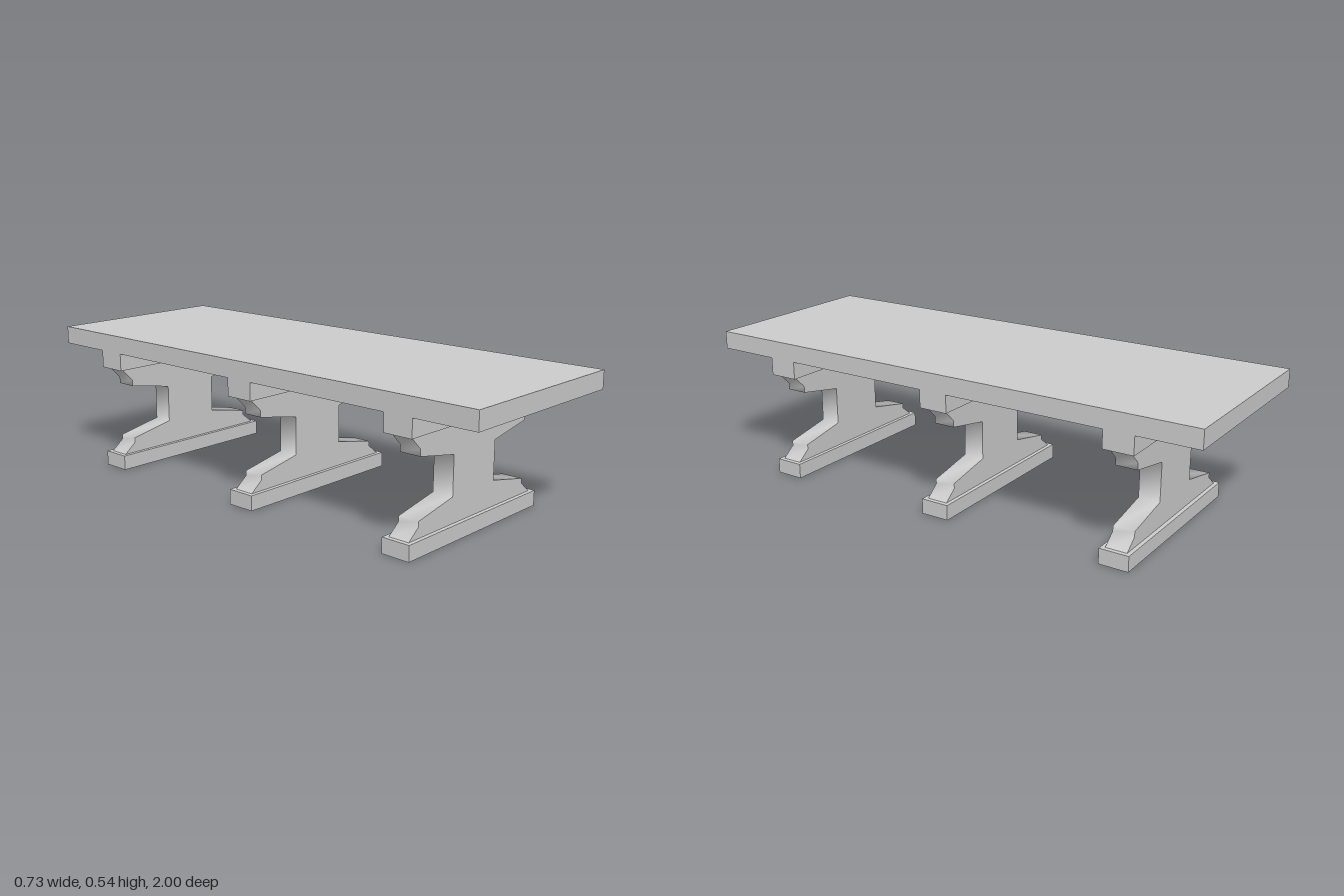
import * as THREE from 'three';
import { toCreasedNormals } from 'three/addons/utils/BufferGeometryUtils.js';

const material = new THREE.MeshStandardMaterial({ color: 0xcccccc });
const HALF_WIDTH = 0.367;

function slab(name, yMin, yMax, depth) {
  const mesh = new THREE.Mesh(new THREE.BoxGeometry(2 * HALF_WIDTH, yMax - yMin, depth), material);
  mesh.position.y = (yMin + yMax) / 2;
  mesh.name = name;
  return mesh;
}

// Right-hand outline of the trestle post, bottom to top; mirrored for the other side
function postGeometry(thickness) {
  const side = [
    [0.35, 0.057], [0.301, 0.096], [0.301, 0.115], [0.119, 0.151],
    [0.119, 0.296], [0.301, 0.329], [0.301, 0.354], [0.35, 0.402],
  ];
  const outline = [...side, ...side.map(([x, y]) => [-x, y]).reverse()];
  const shape = new THREE.Shape(outline.map(([x, y]) => new THREE.Vector2(x, y)));
  const geometry = new THREE.ExtrudeGeometry(shape, { depth: thickness, bevelEnabled: false });
  geometry.translate(0, 0, -thickness / 2);
  // Soft shading around the profile, sharp front and back faces
  return toCreasedNormals(geometry, THREE.MathUtils.degToRad(85));
}

export function createModel() {
  const table = new THREE.Group();
  table.name = 'trestleTable';

  table.add(slab('tableTop', 0.469, 0.537, 2));

  // Three trestles: foot, shaped post and cross beam
  const postShape = postGeometry(0.08);
  [['frontTrestle', 0.704], ['middleTrestle', 0], ['backTrestle', -0.718]].forEach(([name, z]) => {
    const trestle = new THREE.Group();
    trestle.name = name;
    const post = new THREE.Mesh(postShape, material);
    post.name = 'post';
    trestle.add(slab('foot', 0, 0.057, 0.11), post, slab('crossBeam', 0.402, 0.469, 0.112));
    trestle.position.z = z;
    table.add(trestle);
  });

  return table;
}
